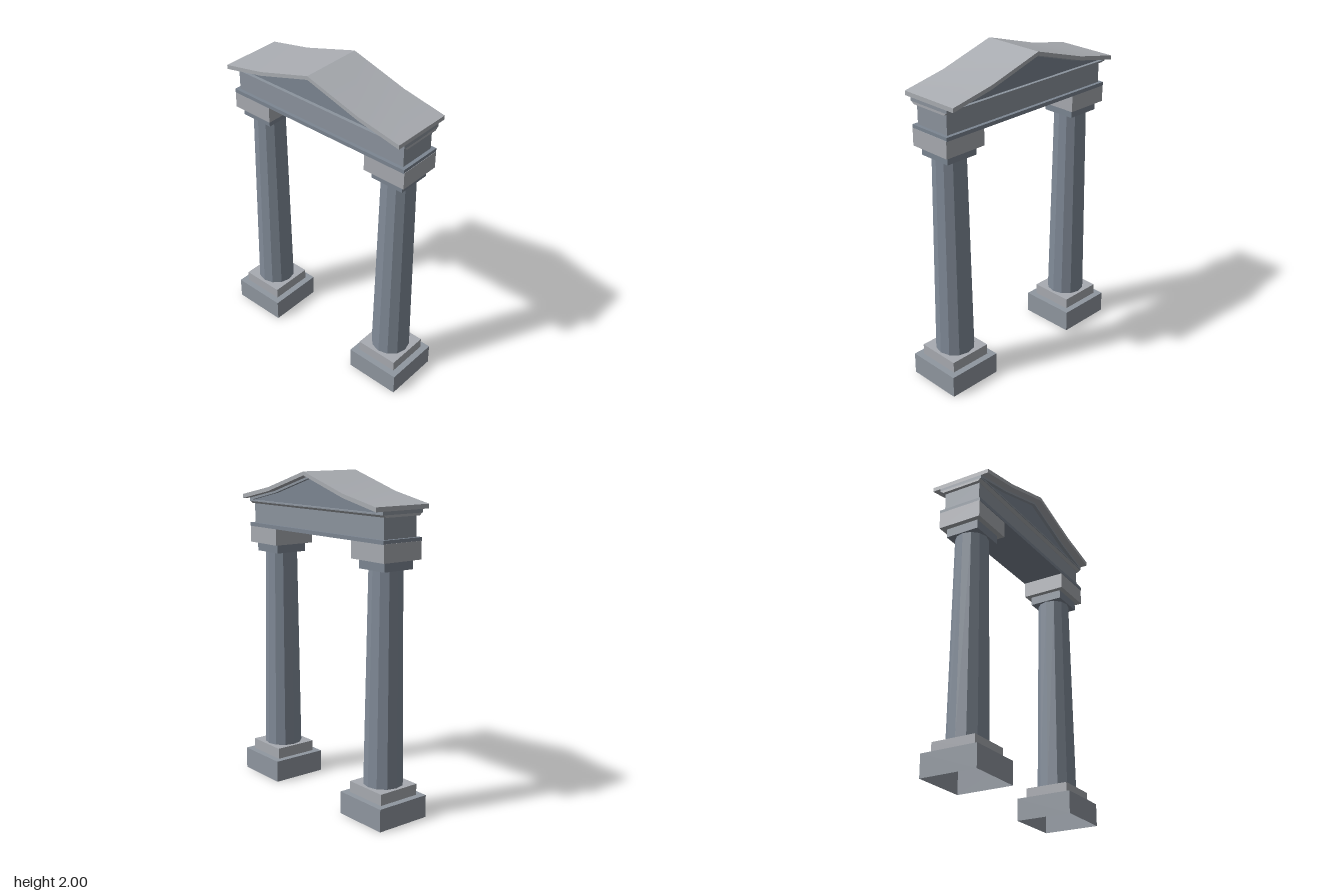
import * as THREE from 'three';
import { toCreasedNormals } from 'three/addons/utils/BufferGeometryUtils.js';

const paint = (color, options = {}) => new THREE.MeshStandardMaterial({ color, ...options });
const shell = { flatShading: true, side: THREE.DoubleSide };

// Weathered blue-grey stone, lighter on ledges and roof
const roofStone = paint(0xaaadb2);
const paleStone = paint(0xa8abb1);
const friezeStone = paint(0x8c949e);
const darkStone = paint(0x7c8692);
const shaftStone = paint(0x828c99, shell);
const plinthStone = paint(0x9097a0, shell);
const stepStone = paint(0xa8abb1, shell);

function add(parent, name, geometry, material) {
  const mesh = new THREE.Mesh(geometry, material);
  mesh.name = name;
  parent.add(mesh);
  return mesh;
}

// Box given by its half width, half depth, bottom and top
function block(parent, name, hx, hz, y0, y1, material) {
  const geometry = new THREE.BoxGeometry(hx * 2, y1 - y0, hz * 2);
  add(parent, name, geometry, material).position.y = (y0 + y1) / 2;
}

// Square shell from a profile of [half width, height]
function squareLathe(profile) {
  const points = profile.map(([h, y]) => new THREE.Vector2(h * Math.SQRT2, y));
  return new THREE.LatheGeometry(points, 4, Math.PI / 4);
}

// Mirrors a right-hand outline [x, y] listed from eave to ridge
function mirrored(half) {
  const left = half.filter(([x]) => x > 0).reverse().map(([x, y]) => [-x, y]);
  return [...half, ...left].map(([x, y]) => new THREE.Vector2(x, y));
}

// Extrudes an outline between two depths
function slab(shape, z0, z1) {
  const g = new THREE.ExtrudeGeometry(shape, { depth: z1 - z0, bevelEnabled: false });
  g.translate(0, 0, z0);
  return toCreasedNormals(g, 0.5);
}

function createColumn() {
  const column = new THREE.Group();
  // Hollow stepped plinth, open underneath
  add(column, 'plinth', squareLathe([[0.178, 0], [0.178, 0.137], [0.138, 0.137]]), plinthStone);
  add(column, 'plinthStep', squareLathe([[0.138, 0.137], [0.138, 0.205], [0.075, 0.205]]), stepStone);
  // Tapered twelve-sided shaft
  const shaft = new THREE.CylinderGeometry(0.1, 0.119, 1.27, 12, 1, true);
  add(column, 'shaft', shaft, shaftStone).position.y = 0.84;
  // Stepped capital
  block(column, 'capitalNeck', 0.107, 0.107, 1.475, 1.53, darkStone);
  block(column, 'capitalBlock', 0.139, 0.139, 1.53, 1.635, paleStone);
  return column;
}

export function createModel() {
  const model = new THREE.Group();
  model.name = 'archway';

  for (const side of [-1, 1]) {
    const column = createColumn();
    column.name = side > 0 ? 'leftColumn' : 'rightColumn';
    column.position.x = side * 0.502;
    model.add(column);
  }

  // Entablature with a cornice that flares outwards to front and back
  const beam = new THREE.Group();
  beam.name = 'entablature';
  model.add(beam);
  block(beam, 'architraveSlab', 0.639, 0.142, 1.632, 1.655, darkStone);
  block(beam, 'frieze', 0.617, 0.12, 1.655, 1.776, friezeStone);
  const flare = new THREE.Shape(mirrored([[0.124, 1.776], [0.145, 1.793]]));
  add(beam, 'cornice', slab(flare, -0.638, 0.638), paleStone).rotation.y = Math.PI / 2;

  // Pediment: recessed panel, moulding frame and overhanging roof
  const pediment = new THREE.Group();
  pediment.name = 'pediment';
  model.add(pediment);
  const under = [[0.638, 1.81], [0.36, 1.868], [0, 1.977]];
  const inner = [[0.622, 1.798], [0.355, 1.856], [0, 1.964]];

  const panel = new THREE.Shape(mirrored([[0.63, 1.79], ...under]));
  add(pediment, 'tympanum', slab(panel, -0.125, 0.125), darkStone);

  const frame = new THREE.Shape(mirrored([[0.638, 1.79], ...under]));
  frame.holes.push(new THREE.Path(mirrored(inner)));
  add(pediment, 'moulding', slab(frame, -0.146, 0.146), friezeStone);

  const top = [[0.638, 1.836], [0.36, 1.892], [0, 2]];
  const roof = new THREE.Shape([...mirrored(top), ...mirrored(under).reverse()]);
  add(pediment, 'roof', slab(roof, -0.198, 0.193), roofStone);

  return model;
}
